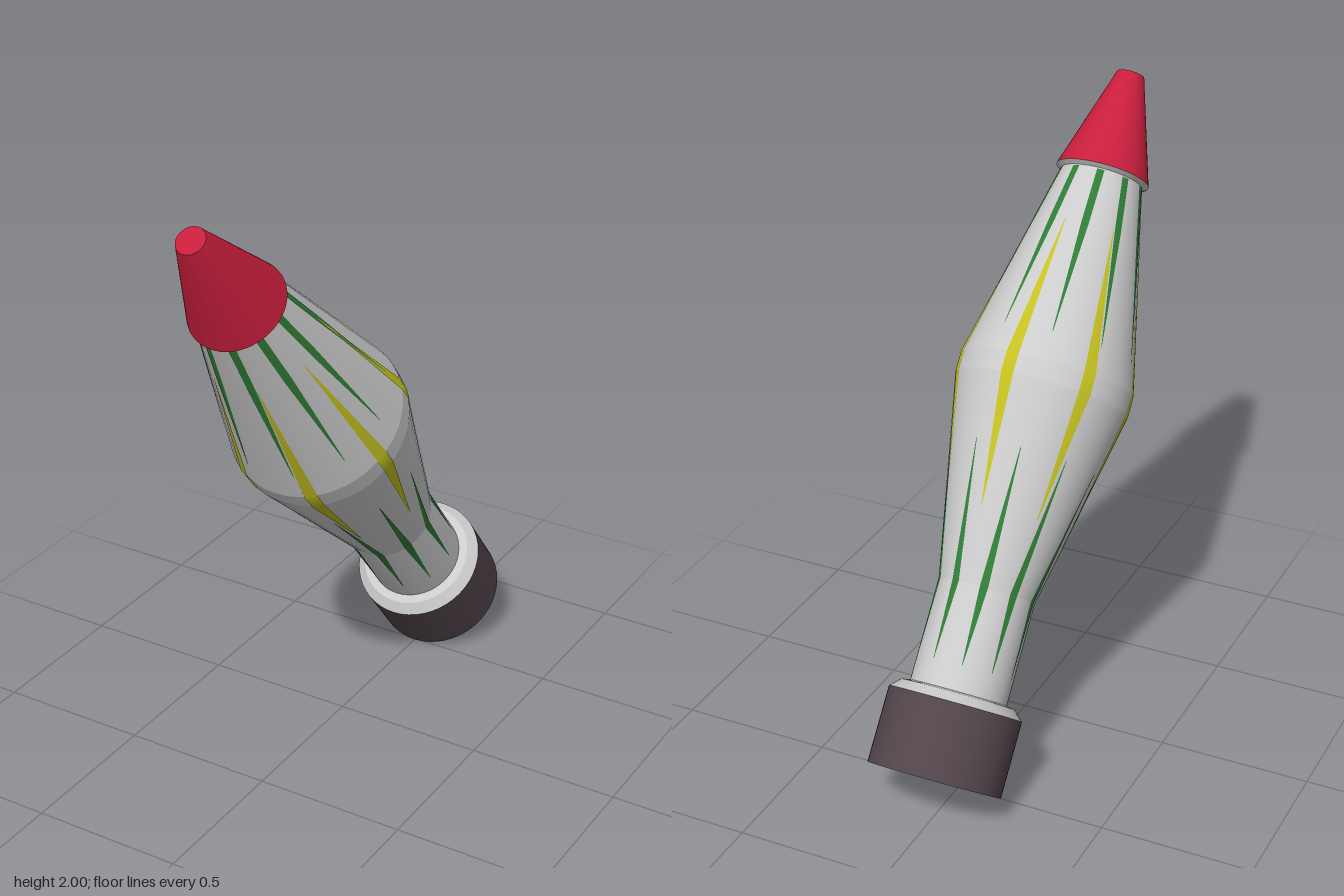
import * as THREE from 'three';

const SIDES = 48;
const mat = (color) => new THREE.MeshStandardMaterial({ color, side: THREE.DoubleSide });
const PALE = mat(0xcccccc), DARK = mat(0x51444b), RED = mat(0xc81e3c), YELLOW = mat(0xc4c020), GREEN = mat(0x2f7d36);

// Body profile as [radius, distance along the axis]
const BODY = [[0.157, 0.28], [0.157, 0.61], [0.284, 1.26], [0.284, 1.325], [0.135, 1.99]];

function radiusAt(s) {
  for (let i = 1; i < BODY.length; i++) {
    const [r0, s0] = BODY[i - 1], [r1, s1] = BODY[i];
    if (s <= s1) return r0 + (r1 - r0) * (s - s0) / (s1 - s0);
  }
  return BODY[BODY.length - 1][0];
}

// One lathed band per profile step: smooth around, sharp between steps
function turned(name, profile, material) {
  const group = new THREE.Group();
  group.name = name;
  for (let i = 1; i < profile.length; i++) {
    const pts = [profile[i - 1], profile[i]].map(([r, s]) => new THREE.Vector2(r, s));
    const band = new THREE.Mesh(new THREE.LatheGeometry(pts, SIDES), material);
    band.name = name + 'Band';
    group.add(band);
  }
  return group;
}

// Painted sliver lying on the body; rows are [distance, half width]
function stripe(name, angle, rows, material) {
  const pos = [], index = [];
  rows.forEach(([s, w], i) => {
    const r = radiusAt(s) + 0.002;
    for (const k of [-1, 0, 1]) {
      const a = angle + k * w / r;
      pos.push(r * Math.sin(a), s, r * Math.cos(a));
    }
    if (i > 0) {
      for (const k of [0, 1]) {
        const a = (i - 1) * 3 + k, b = a + 3;
        index.push(a, a + 1, b + 1, a, b + 1, b);
      }
    }
  });
  const geo = new THREE.BufferGeometry();
  geo.setAttribute('position', new THREE.Float32BufferAttribute(pos, 3));
  geo.setIndex(index);
  geo.computeVertexNormals();
  const mesh = new THREE.Mesh(geo, material);
  mesh.name = name;
  return mesh;
}

export function createModel() {
  const model = new THREE.Group();
  model.name = 'model';
  const shaft = new THREE.Group();
  shaft.name = 'tiltedShaft';
  model.add(shaft);

  // Base cap: recessed underside, side wall, pale shoulder
  shaft.add(turned('baseCap', [[0, 0.07], [0.162, 0.07], [0.206, 0], [0.216, 0], [0.216, 0.245]], DARK));
  shaft.add(turned('capShoulder', [[0.216, 0.245], [0.185, 0.275], [0.157, 0.28]], PALE));

  // Neck, belly and taper
  shaft.add(turned('body', BODY, PALE));

  // Yellow stripes over the belly
  for (let i = 0; i < 7; i++) {
    const a = 0.4 + i * Math.PI * 2 / 7;
    shaft.add(stripe('yellowStripe', a, [[0.85, 0.001], [1.26, 0.021], [1.325, 0.021], [1.8, 0.001]], YELLOW));
  }
  // Green stripes on the neck and the upper taper
  for (let i = 0; i < 10; i++) {
    const a = (i + 0.5) * Math.PI / 5;
    shaft.add(stripe('neckStripe', a, [[0.36, 0.001], [0.61, 0.013], [1.05, 0.001]], GREEN));
    shaft.add(stripe('upperStripe', a, [[1.42, 0.001], [1.8, 0.012], [1.985, 0.012]], GREEN));
  }

  // Tip: narrow pale underside and blunt red cone
  shaft.add(turned('tipCollar', [[0.135, 1.99], [0.154, 2.0]], PALE));
  shaft.add(turned('tip', [[0.154, 2.0], [0.046, 2.348], [0, 2.348]], RED));

  // Lean the shaft towards the front
  shaft.rotation.x = 0.674;
  shaft.position.set(0, 0.135, -0.663);
  return model;
}
